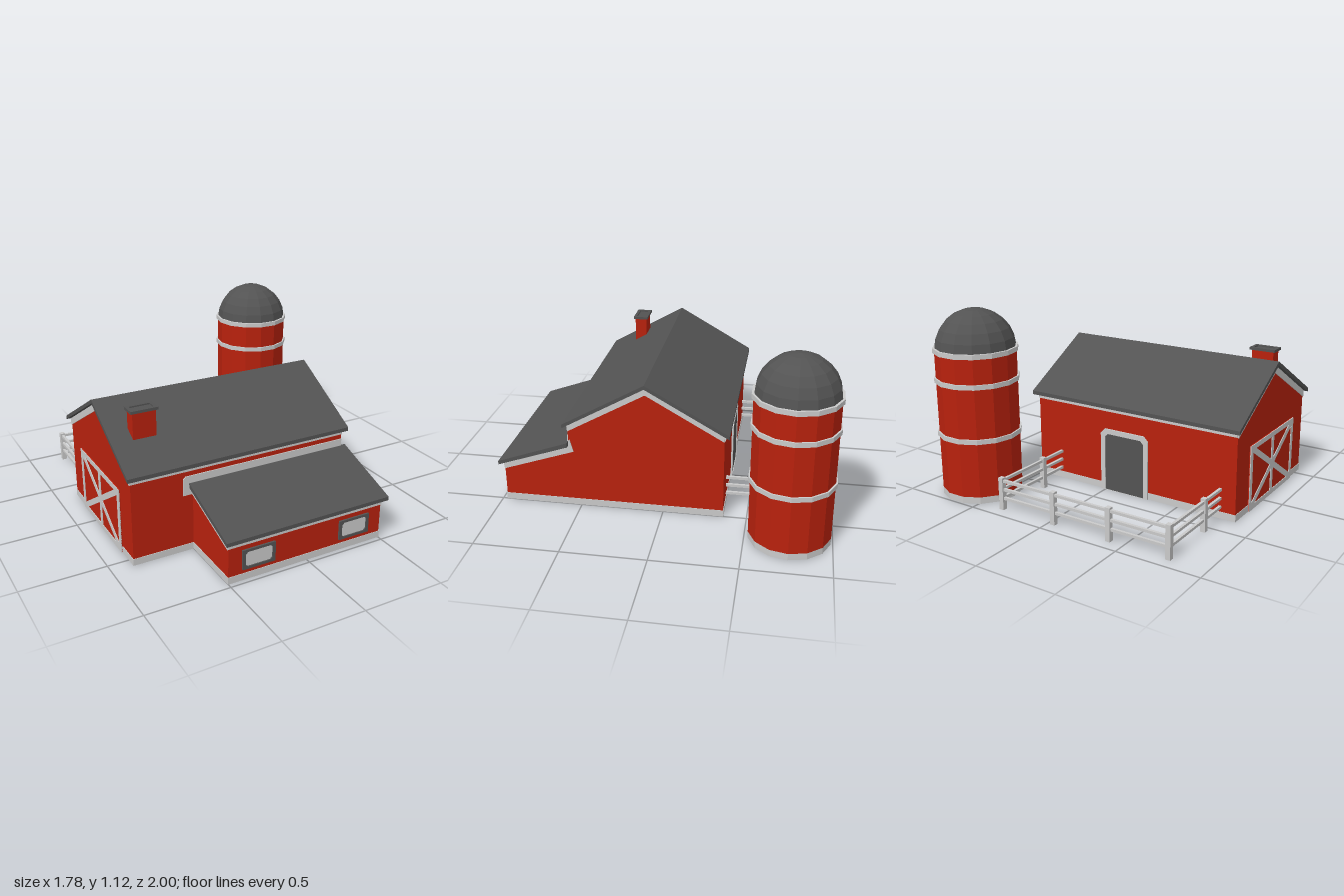
import * as THREE from 'three';

export function createModel() {
  const model = new THREE.Group();
  model.name = 'barnyard';
  const mat = (name, color) => {
    const m = new THREE.MeshStandardMaterial({ color, flatShading: true });
    m.name = name;
    return m;
  };
  const red = mat('barn red', 0xb8210d);
  const dark = mat('slate grey', 0x535353);
  const trim = mat('pale trim', 0xcacaca);

  const add = (name, geo, material, parent = model) => {
    const mesh = new THREE.Mesh(geo, material);
    mesh.name = name;
    parent.add(mesh);
    return mesh;
  };
  // Box given by its minimum and maximum on each axis
  const box = (name, m, x0, x1, y0, y1, z0, z1, parent) =>
    add(name, new THREE.BoxGeometry(x1 - x0, y1 - y0, z1 - z0)
      .translate((x0 + x1) / 2, (y0 + y1) / 2, (z0 + z1) / 2), m, parent);
  const outline = pts => new THREE.Shape(pts.map(p => new THREE.Vector2(...p)));
  const extrude = (shape, depth) => new THREE.ExtrudeGeometry(shape, { depth, bevelEnabled: false });
  // Profile in (z, y) swept along x
  const sweepX = (name, m, pts, x0, x1, parent) =>
    add(name, extrude(outline(pts), x1 - x0).rotateY(-Math.PI / 2).translate(x1, 0, 0), m, parent);
  // Rectangle with cut corners; top only or all round
  const cutRect = (x0, x1, y0, y1, c, b = c) => [
    [x0 + b, y0], [x1 - b, y0], [x1, y0 + b], [x1, y1 - c],
    [x1 - c, y1], [x0 + c, y1], [x0, y1 - c], [x0, y0 + b],
  ];
  const T = 0.006; // thickness of applied trim

  // Barn body and lean-to body
  const barn = new THREE.Group();
  barn.name = 'barn';
  model.add(barn);
  sweepX('barnWalls', red, [[-0.36, 0], [0.565, 0], [0.565, 0.536], [0.1, 0.8], [-0.36, 0.538]], -0.87, 0.5, barn);
  sweepX('leanToWalls', red, [[0.56, 0], [0.97, 0], [0.97, 0.258], [0.56, 0.4]], -0.5, 0.5, barn);

  // Roofs
  sweepX('mainRoof', dark, [[-0.39, 0.525], [0.1, 0.803], [0.592, 0.525], [0.592, 0.548], [0.1, 0.827], [-0.39, 0.548]],
    -0.895, 0.53, barn);
  sweepX('leanToRoof', dark, [[0.566, 0.4], [1, 0.25], [1, 0.273], [0.566, 0.428]], -0.525, 0.53, barn);

  // Gable trim on both ends of the barn and the lean-to
  const gableBand = [[-0.36, 0.495], [0.1, 0.757], [0.565, 0.495], [0.565, 0.536], [0.1, 0.801], [-0.36, 0.538]];
  const leanBand = [[0.535, 0.362], [0.97, 0.213], [0.97, 0.258], [0.565, 0.4], [0.565, 0.43], [0.556, 0.44]];
  for (const [x, band] of [[0.5, gableBand], [0.5, leanBand], [-0.87, gableBand],
    [-0.5, [[0.565, 0.353], [0.97, 0.213], [0.97, 0.258], [0.565, 0.4]]]]) {
    const out = Math.sign(x) * T;
    sweepX('gableTrim', trim, band, Math.min(x, x + out), Math.max(x, x + out), barn);
  }

  // Trim under the eaves and along the lean-to joint
  box('frontEaveTrim', trim, -0.87, 0.5, 0.5, 0.535, 0.565, 0.565 + T, barn);
  box('backEaveTrim', trim, -0.87, 0.5, 0.5, 0.535, -0.36 - T, -0.36, barn);
  box('leanToEaveTrim', trim, -0.5, 0.5, 0.218, 0.257, 0.97, 0.97 + T, barn);
  add('jointTrim', extrude(outline([[-0.56, 0.355], [0.5, 0.355], [0.5, 0.47], [-0.545, 0.47], [-0.56, 0.455]]), T)
    .translate(0, 0, 0.565), trim, barn);

  // Foundation band following the footprint
  const foot = [[-0.87, -0.36], [-0.87, 0.565], [-0.5, 0.565], [-0.5, 0.97], [0.5, 0.97], [0.5, -0.36]];
  foot.forEach(([x, z], i) => {
    const [u, v] = foot[(i + 1) % foot.length];
    const h = T / 2;
    box('foundationTrim', trim, Math.min(x, u) - h, Math.max(x, u) + h, 0.001, 0.042,
      Math.min(z, v) - h, Math.max(z, v) + h, barn);
  });

  // Windows on the lean-to
  for (const x of [-0.315, 0.311]) {
    const frame = outline(cutRect(x - 0.102, x + 0.102, 0.068, 0.188, 0.001));
    const pane = cutRect(x - 0.084, x + 0.084, 0.083, 0.173, 0.014);
    frame.holes.push(outline(pane));
    add('windowFrame', extrude(frame, 0.012).translate(0, 0, 0.969), dark, barn);
    add('windowPane', extrude(outline(pane), T).translate(0, 0, 0.968), trim, barn);
  }

  // Back door with a cut-corner frame
  const backFrame = outline(cutRect(-0.3, 0.03, 0, 0.39, 0.03, 0.0005));
  const backPanel = cutRect(-0.27, 0, 0.001, 0.36, 0.02, 0.0005);
  backFrame.holes.push(outline(backPanel));
  add('backDoorFrame', extrude(backFrame, 0.012).translate(0, 0, -0.37), trim, barn);
  add('backDoor', extrude(outline(backPanel), 0.008).translate(0, 0, -0.366), dark, barn);

  // Braced double door on the right end
  const door = new THREE.Group();
  door.name = 'bracedDoor';
  barn.add(door);
  const dz0 = -0.2, dz1 = 0.41, dh = 0.4;
  box('doorPanel', red, -0.876, -0.868, 0.002, dh, dz0, dz1, door);
  const brace = (a, b, w) => {
    const dz = b[0] - a[0], dy = b[1] - a[1];
    const bar = add('doorBrace', new THREE.BoxGeometry(T, w, Math.hypot(dz, dy)), trim, door);
    bar.position.set(-0.877, (a[1] + b[1]) / 2, (a[0] + b[0]) / 2);
    bar.rotation.x = -Math.atan2(dy, dz);
  };
  const mid = (dz0 + dz1) / 2, e = 0.015;
  brace([dz0, e], [dz1, e], 0.03);
  brace([dz0, dh - e], [dz1, dh - e], 0.03);
  for (const z of [dz0 + e, mid, dz1 - e]) brace([z, 0.002], [z, dh], 0.03);
  brace([dz0 + e, e], [dz1 - e, dh - e], 0.035);
  brace([dz0 + e, dh - e], [dz1 - e, e], 0.035);

  // Chimney with a capped opening
  const chimney = new THREE.Group();
  chimney.name = 'chimney';
  model.add(chimney);
  box('chimneyStack', red, -0.768, -0.628, 0.6, 0.822, 0.31, 0.385, chimney);
  const cap = outline([[-0.78, 0.3], [-0.616, 0.3], [-0.616, 0.395], [-0.78, 0.395]]);
  cap.holes.push(outline([[-0.76, 0.32], [-0.636, 0.32], [-0.636, 0.375], [-0.76, 0.375]]));
  add('chimneyCap', extrude(cap, 0.016).rotateX(Math.PI / 2).translate(0, 0.836, 0), dark, chimney);
  box('flue', dark, -0.76, -0.636, 0.82, 0.828, 0.32, 0.375, chimney);

  // Silo: fourteen-sided tower, hoops and faceted dome
  const silo = new THREE.Group();
  silo.name = 'silo';
  silo.position.set(0.64, 0, -0.755);
  model.add(silo);
  const drum = (name, m, r, y0, y1) =>
    add(name, new THREE.CylinderGeometry(r, r, y1 - y0, 14).rotateY(Math.PI / 2).translate(0, (y0 + y1) / 2, 0), m, silo);
  drum('siloBase', trim, 0.239, 0, 0.04);
  drum('siloTower', red, 0.239, 0.04, 0.88);
  for (const y of [0.383, 0.708, 0.884]) drum('siloHoop', trim, 0.249, y - 0.014, y + 0.014);
  add('siloDome', new THREE.SphereGeometry(0.237, 14, 7, 0, Math.PI * 2, 0, Math.PI * 4 / 7)
    .translate(0, 0.882, 0), dark, silo);

  // Fence: posts and three rails round the back yard
  const fence = new THREE.Group();
  fence.name = 'fence';
  model.add(fence);
  const xs = [-0.775, -0.405, -0.035, 0.335];
  const posts = [...xs.map(x => [x, -0.92]), [xs[0], -0.55], [xs[3], -0.55]];
  for (const [x, z] of posts)
    box('fencePost', trim, x - 0.015, x + 0.015, 0, 0.195, z - 0.015, z + 0.015, fence);
  for (const y of [0.07, 0.123, 0.176]) {
    box('backRail', trim, xs[0], xs[3], y - 0.008, y + 0.008, -0.928, -0.912, fence);
    for (const x of [xs[0], xs[3]])
      box('sideRail', trim, x - 0.008, x + 0.008, y - 0.008, y + 0.008, -0.92, -0.36, fence);
  }
  return model;
}
